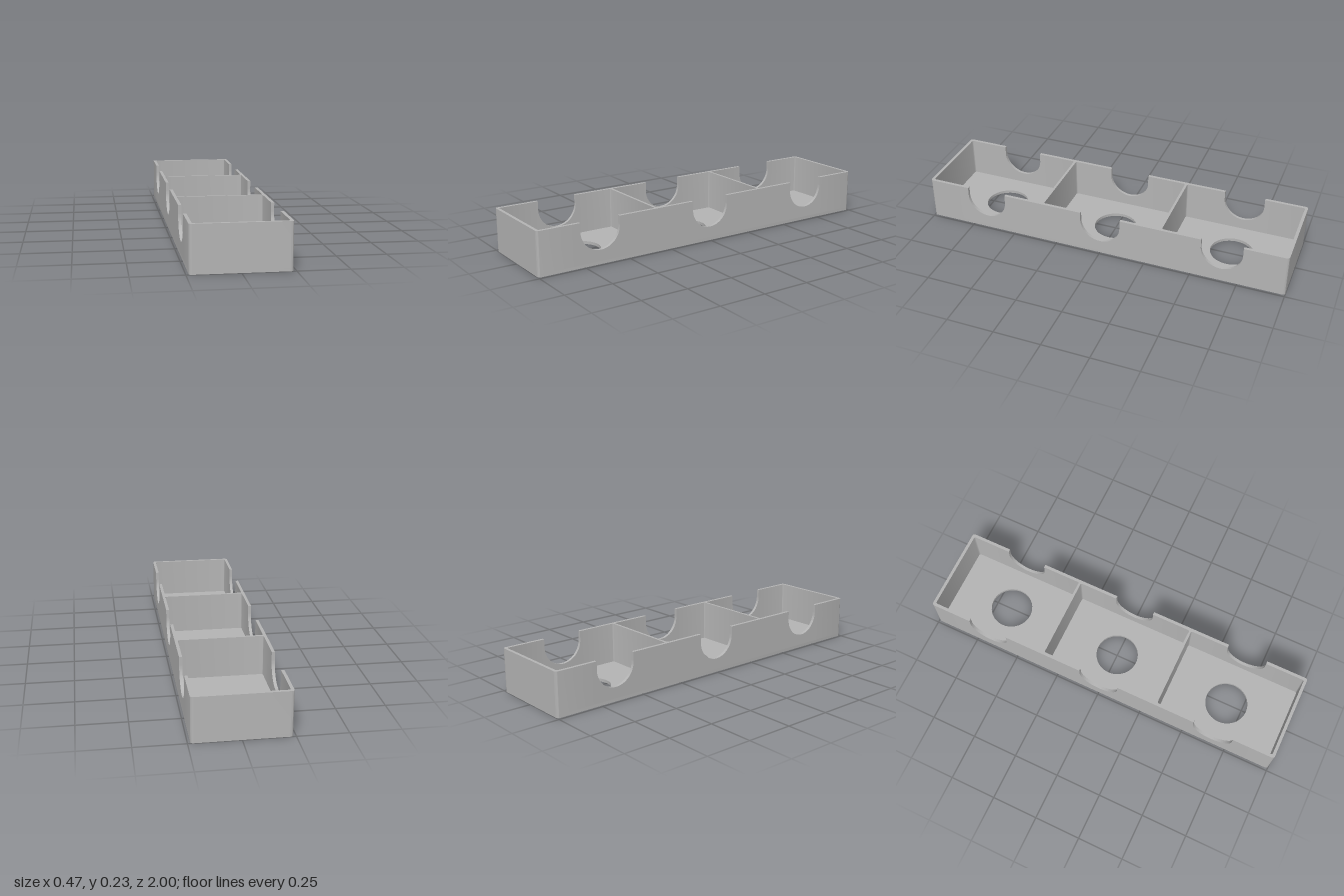
import * as THREE from 'three';
import { toCreasedNormals } from 'three/addons/utils/BufferGeometryUtils.js';

const W = 0.237, L = 1, H = 0.23;        // half width, half length, height
const T = 0.016, FLOOR = 0.016;          // wall and floor thickness
const R_OUT = 0.016, R_IN = 0.01;        // corner radii
const BAY = 0.66, DIV = 0.33, DIV_T = 0.0065; // bay spacing, divider position and half thickness
const NOTCH_R = 0.11, NOTCH_Y = 0.185, HOLE_R = 0.115;

// Closed outline from [x, y, cornerRadius] points
function outline(points) {
  const shape = new THREE.Shape();
  const n = points.length;
  points.forEach(([x, y, r = 0], i) => {
    const p = new THREE.Vector2(x, y);
    const toward = (q) => new THREE.Vector2(q[0], q[1]).sub(p).setLength(r).add(p);
    const a = r ? toward(points[(i + n - 1) % n]) : p;
    if (i === 0) shape.moveTo(a.x, a.y); else shape.lineTo(a.x, a.y);
    if (r) {
      const b = toward(points[(i + 1) % n]);
      shape.quadraticCurveTo(x, y, b.x, b.y);
    }
  });
  shape.closePath();
  return shape;
}

function extrude(shape, depth) {
  const geo = new THREE.ExtrudeGeometry(shape, { depth, bevelEnabled: false, curveSegments: 24 });
  return toCreasedNormals(geo, 0.5);
}

// Plan outline raised from y0 to y1
function raise(shape, y0, y1) {
  return extrude(shape, y1 - y0).rotateX(-Math.PI / 2).translate(0, y0, 0);
}

export function createModel() {
  const group = new THREE.Group();
  group.name = 'threeBayTray';
  const grey = new THREE.MeshStandardMaterial({ color: 0xb4b4b4 });
  grey.name = 'grey';
  const add = (name, geo) => {
    const mesh = new THREE.Mesh(geo, grey);
    mesh.name = name;
    group.add(mesh);
    return mesh;
  };

  // Floor with one round hole per bay
  const floor = outline([[-W, -L, R_OUT], [W, -L, R_OUT], [W, L, R_OUT], [-W, L, R_OUT]]);
  for (const z of [-BAY, 0, BAY]) {
    floor.holes.push(new THREE.Path().absarc(0, z, HOLE_R, 0, Math.PI * 2, true));
  }
  add('floor', raise(floor, 0, FLOOR));

  // End walls with rounded corners, running up to the outer notches
  const xi = W - T, zi = L - T, e = BAY + NOTCH_R;
  const end = raise(outline([
    [-W, e], [-xi, e], [-xi, zi, R_IN], [xi, zi, R_IN], [xi, e],
    [W, e], [W, L, R_OUT], [-W, L, R_OUT],
  ]), FLOOR, H);

  // Dividers together with the side walls between neighbouring notches
  const a = NOTCH_R, b = BAY - NOTCH_R, d0 = DIV - DIV_T, d1 = DIV + DIV_T;
  const divider = raise(outline([
    [-W, a], [-xi, a], [-xi, d0, R_IN], [xi, d0, R_IN], [xi, a], [W, a],
    [W, b], [xi, b], [xi, d1, R_IN], [-xi, d1, R_IN], [-xi, b], [-W, b],
  ]), FLOOR, H);

  for (const turn of [0, Math.PI]) {
    const side = turn ? 'Front' : 'Back';
    add('endWall' + side, end).rotation.y = turn;
    add('divider' + side, divider).rotation.y = turn;
  }

  // Low wall panels under the U-shaped notches
  const notch = new THREE.Shape();
  notch.moveTo(-NOTCH_R, FLOOR);
  notch.lineTo(NOTCH_R, FLOOR);
  notch.lineTo(NOTCH_R, NOTCH_Y);
  notch.absarc(0, NOTCH_Y, NOTCH_R, 0, -Math.PI, true);
  notch.closePath();
  const panel = extrude(notch, T).rotateY(Math.PI / 2);
  for (const z of [-BAY, 0, BAY]) {
    add('notchPanelLeft', panel).position.set(xi, 0, z);
    add('notchPanelRight', panel).position.set(-W, 0, z);
  }
  return group;
}
